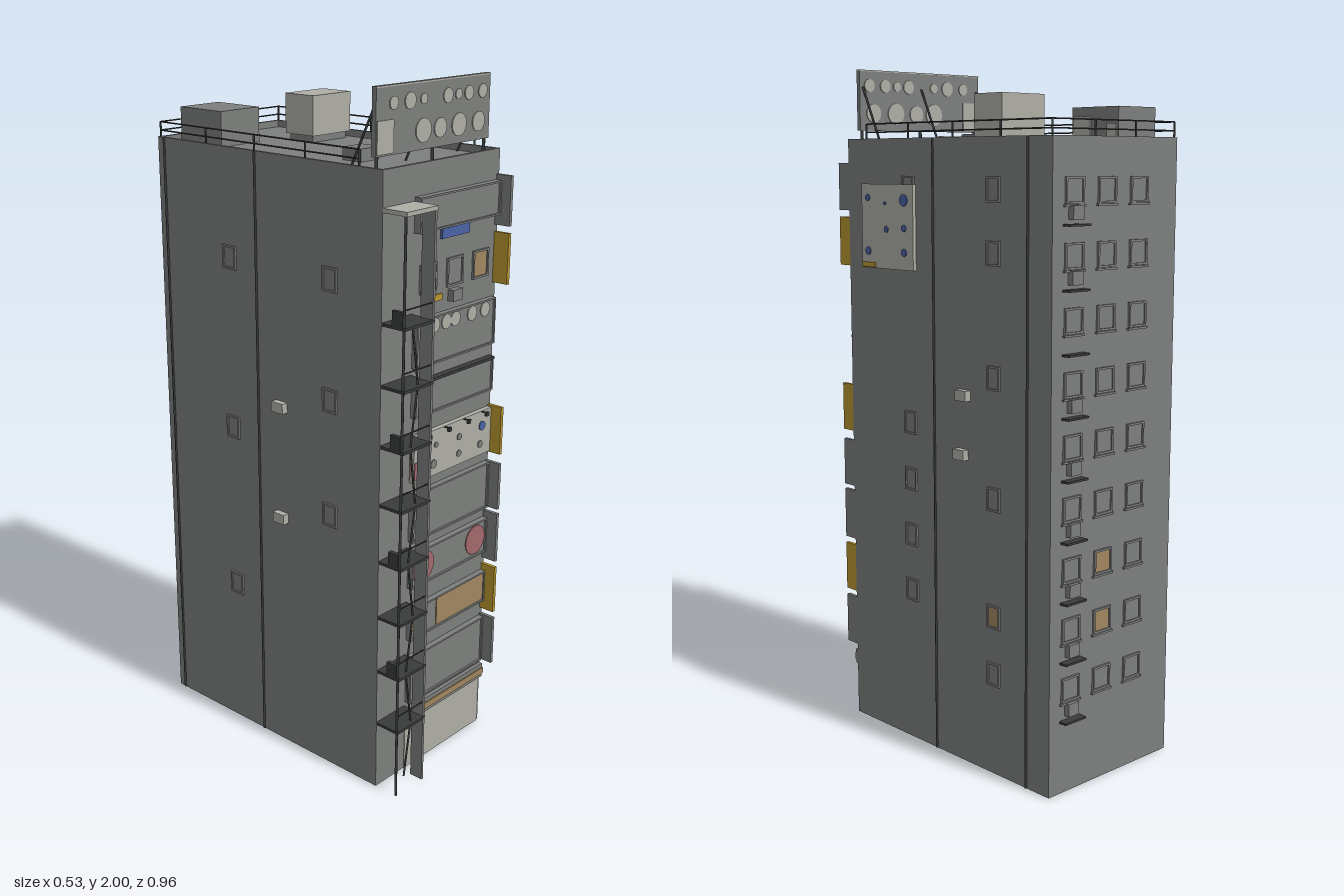
import * as THREE from 'three';

const mat = (name, color) => {
  const m = new THREE.MeshStandardMaterial({ color });
  m.name = name;
  return m;
};

export function createModel() {
  const root = new THREE.Group();
  root.name = 'cityBuilding';
  const grey = mat('concreteGrey', 0x7c7f7d), light = mat('paleGrey', 0xaeaea6), dark = mat('darkMetal', 0x3a3c3c);
  const yellow = mat('signYellow', 0xb8962e), orange = mat('warmOrange', 0xa0865f);
  const red = mat('signRed', 0xa1696b), blue = mat('signBlue', 0x4a62a5);

  const add = (name, geo, m, parent = root) => {
    const mesh = new THREE.Mesh(geo, m);
    mesh.name = name;
    parent.add(mesh);
    return mesh;
  };
  // Box given by its extents on each axis
  const box = (name, m, x0, x1, y0, y1, z0, z1, parent) => {
    const b = add(name, new THREE.BoxGeometry(x1 - x0, y1 - y0, z1 - z0), m, parent);
    b.position.set((x0 + x1) / 2, (y0 + y1) / 2, (z0 + z1) / 2);
    return b;
  };
  // Round bar between two points
  const bar = (name, m, a, b, r = 0.003, parent = root) => {
    const p = new THREE.Vector3(...a), q = new THREE.Vector3(...b);
    const c = add(name, new THREE.CylinderGeometry(r, r, p.distanceTo(q), 6), m, parent);
    c.position.copy(p).add(q).multiplyScalar(0.5);
    c.quaternion.setFromUnitVectors(new THREE.Vector3(0, 1, 0), q.sub(p).normalize());
    return c;
  };
  // Thin disc facing +z, optionally squashed
  const disc = (name, m, x, y, z, r, sy = 1, parent = root) => {
    const d = add(name, new THREE.CylinderGeometry(r, r, 0.004, 16), m, parent);
    d.rotation.x = Math.PI / 2;
    d.scale.z = sy;
    d.position.set(x, y, z);
    return d;
  };
  // Rectangular ring facing +z
  const frame = (name, m, w, h, t, d) => {
    const rect = (P, a, b) => new P().moveTo(-a, -b).lineTo(a, -b).lineTo(a, b).lineTo(-a, b).closePath();
    const s = rect(THREE.Shape, w / 2, h / 2);
    s.holes.push(rect(THREE.Path, w / 2 - t, h / 2 - t));
    const mesh = new THREE.Mesh(new THREE.ExtrudeGeometry(s, { depth: d, bevelEnabled: false }), m);
    mesh.name = name;
    return mesh;
  };
  const windowUnit = (x, y, z, turn, w, h, lit) => {
    const g = new THREE.Group();
    g.name = 'window';
    g.add(frame('windowFrame', grey, w, h, 0.006, 0.006));
    box('windowPane', lit ? orange : grey, -w / 2 + 0.006, w / 2 - 0.006, -h / 2 + 0.006, h / 2 - 0.006, -0.002, 0.002, g);
    g.position.set(x, y, z);
    g.rotation.y = turn;
    root.add(g);
  };
  const floorY = k => 0.3 + 0.17 * k;
  const X0 = -0.247, X1 = 0.245, Z0 = -0.455, Z1 = 0.4, T = 0.01, H = 1.8;

  // Hollow shell, open below
  box('leftWall', grey, X1 - T, X1, 0, H, Z0, Z1);
  box('rightWall', grey, X0, X0 + T, 0, H, Z0, Z1);
  box('backWall', grey, X0 + T, X1 - T, 0, H, Z0, Z0 + T);
  box('frontWall', grey, X0 + T, X1 - T, 0.16, H, Z1 - T, Z1);
  box('stairWall', grey, X0 + T, -0.12, 0, 0.16, Z1 - T, Z1);
  box('shutter', light, -0.12, X1 - T, 0, 0.16, Z1 - T, Z1 + 0.002);
  box('roof', grey, X0 + T, X1 - T, 1.765, 1.78, Z0 + T, Z1 - T);

  // Drain pipes
  for (const [x, z] of [[X1, 0.015], [X1, -0.365], [X0, -0.06], [X0, -0.43]])
    bar('drainPipe', dark, [x, 0, z], [x, H, z], 0.004);

  // Side windows, back windows with sills and cooling units
  for (const [k, z] of [[8, -0.235], [7, -0.235], [5, -0.235], [3, -0.235], [1, -0.235], [0, -0.235],
    [8, 0.12], [4, 0.12], [3, 0.12], [2, 0.12], [1, 0.12]])
    windowUnit(X1, floorY(k), z, Math.PI / 2, 0.052, 0.068, k === 1 && z < 0);
  for (const [k, z] of [[7, -0.165], [4, -0.165], [1, -0.165], [7, 0.22], [5, 0.22], [3, 0.22]])
    windowUnit(X0, floorY(k), z, -Math.PI / 2, 0.052, 0.068, false);
  for (let k = 0; k < 9; k++) {
    const y = floorY(k);
    [0.165, 0.04, -0.088].forEach((x, c) => {
      windowUnit(x, y, Z0, Math.PI, 0.07, 0.07, c === 1 && (k === 1 || k === 2));
      box('windowSill', grey, x - 0.04, x + 0.04, y - 0.042, y - 0.036, Z0 - 0.007, Z0);
    });
    box('backLedge', dark, 0.125, 0.205, y - 0.092, y - 0.086, Z0 - 0.025, Z0);
    if (k !== 6) box('coolingUnit', grey, 0.145, 0.185, y - 0.075, y - 0.038, Z0 - 0.018, Z0);
  }
  for (const [x, y, z] of [[X1, 1.09, -0.117], [X1, 0.92, -0.107], [X0 - 0.02, 1.09, 0.033], [X0 - 0.02, 0.75, 0.033]])
    box('wallUnit', light, x, x + 0.02, y - 0.015, y + 0.015, z - 0.022, z + 0.022);

  // Poster on the left wall
  box('sidePoster', light, X1, 0.256, 1.425, 1.67, 0.09, 0.325);
  box('posterCorner', yellow, 0.256, 0.259, 1.427, 1.442, 0.262, 0.323);
  for (const [z, y, r] of [[0.13, 1.625, 0.017], [0.13, 1.545, 0.01], [0.13, 1.475, 0.011], [0.21, 1.54, 0.009],
    [0.215, 1.615, 0.005], [0.295, 1.63, 0.01], [0.295, 1.475, 0.012]]) {
    const d = disc('posterSpot', blue, 0.257, y, z, r);
    d.rotation.set(0, 0, Math.PI / 2);
  }

  // Facade panels: y range, colour, depth
  for (const [y0, y1, m, d] of [[0.225, 0.375, grey, 0.012], [0.43, 0.53, grey, 0.012], [0.595, 0.705, grey, 0.012],
    [0.74, 0.885, grey, 0.012], [0.92, 1.055, light, 0.016], [1.11, 1.21, grey, 0.012],
    [1.25, 1.385, grey, 0.012], [1.62, 1.715, grey, 0.016]]) {
    box('facadePanel', m, -0.12, 0.23, y0, y1, Z1, Z1 + d);
    if (m === grey) {
      const f = frame('panelFrame', grey, 0.35, y1 - y0, 0.005, d + 0.006);
      f.position.set(0.055, (y0 + y1) / 2, Z1);
      root.add(f);
    }
  }
  box('shopLintel', grey, -0.12, 0.243, 0.16, 0.205, Z1, Z1 + 0.012);
  box('shopStripe', orange, -0.12, 0.243, 0.172, 0.192, Z1 + 0.012, Z1 + 0.016);
  box('facadeLedge', dark, -0.12, 0.23, 1.203, 1.211, Z1, Z1 + 0.021);
  const F = Z1 + 0.013;
  box('orangeBanner', orange, 0, 0.225, 0.437, 0.523, Z1, F + 0.002);
  disc('orangeSpot', orange, -0.09, 0.482, F, 0.026, 1.25);
  disc('redSpot', red, -0.067, 0.65, F, 0.049);
  disc('redSpot', red, 0.178, 0.65, F, 0.046);
  box('redSquare', red, -0.12, -0.07, 0.928, 0.98, Z1, Z1 + 0.019);
  for (const [x, y, r] of [[-0.09, 1.01, 0.012], [-0.035, 0.955, 0.013], [-0.025, 1.01, 0.008], [0.08, 0.955, 0.01],
    [0.08, 1.005, 0.01], [0.18, 0.955, 0.011]]) disc('signSpot', grey, x, y, Z1 + 0.017, r);
  disc('blueSpot', blue, 0.187, 1.01, Z1 + 0.017, 0.014);
  for (const x of [-0.08, -0.04, 0.01, 0.05, 0.125, 0.185]) disc('paleSpot', light, x, 1.358, F, 0.021);
  for (const x of [-0.06, 0.055, 0.17]) windowUnit(x, 1.49, Z1, 0, 0.07, 0.08, x > 0.1);
  box('yellowTag', yellow, -0.07, 0, 1.42, 1.438, Z1, Z1 + 0.005);
  box('frontUnit', grey, 0.03, 0.072, 1.41, 1.442, Z1, Z1 + 0.02);
  box('blueSign', blue, -0.01, 0.11, 1.588, 1.615, Z1, Z1 + 0.008);

  // Sign lamps
  for (const x of [-0.075, 0.012, 0.1, 0.186]) {
    bar('lampArm', dark, [x, 1.05, Z1], [x, 1.055, 0.433], 0.002);
    box('lampHead', dark, x - 0.006, x + 0.006, 1.044, 1.056, 0.43, 0.438);
  }
  // Blade signs on the front left edge
  for (const [y0, y1, m] of [[0.225, 0.38, grey], [0.4, 0.55, yellow], [0.57, 0.725, grey], [0.74, 0.885, grey],
    [0.915, 1.06, yellow], [1.425, 1.57, yellow], [1.59, 1.73, grey]])
    box('bladeSign', m, 0.233, 0.244, y0, y1, Z1, 0.45);

  // Outside stair tower
  bar('towerPost', dark, [-0.243, 0, 0.473], [-0.243, 1.7, 0.473], 0.004);
  box('towerFin', grey, -0.132, -0.124, 0, 1.7, 0.436, 0.478);
  box('towerRoof', light, -0.247, -0.122, 1.692, 1.704, Z1, 0.48);
  for (let k = 0; k < 8; k++) {
    const y = 0.21 + k * 0.17, s = k % 2 ? 1 : -1;
    box('towerLanding', dark, -0.247, -0.125, y - 0.004, y + 0.004, Z1, 0.48);
    bar('landingRail', dark, [-0.243, y + 0.05, 0.474], [-0.128, y + 0.05, 0.474], 0.002);
    if (k % 2) box('landingBox', dark, -0.247, -0.235, y, y + 0.045, 0.435, 0.47);
    bar('towerCable', dark, [-0.185 + s * 0.013, y - 0.17, 0.465], [-0.185 - s * 0.013, y, 0.465], 0.003);
  }

  // Rooftop boxes
  box('waterTank', light, 0.055, 0.215, 1.8, 1.915, -0.235, -0.125);
  box('tankBase', grey, 0.065, 0.205, 1.77, 1.8, -0.225, -0.135);
  box('roofHouse', grey, -0.175, -0.025, 1.77, 1.88, -0.435, -0.265);
  box('housePatch', light, -0.025, -0.021, 1.8, 1.855, -0.335, -0.27);
  box('housePatch', light, -0.025, -0.021, 1.8, 1.835, -0.43, -0.395);
  box('roofVent', grey, -0.105, -0.03, 1.77, 1.815, 0.135, 0.2);
  box('ventDuct', light, -0.03, 0.008, 1.795, 1.808, 0.19, 0.204);
  box('ventDuct', light, 0.02, 0.06, 1.795, 1.808, 0.19, 0.204);

  // Roof railing on three sides
  for (const y of [1.818, 1.842]) {
    for (const x of [-0.241, 0.241]) bar('roofRail', dark, [x, y, -0.449], [x, y, 0.315], 0.0022);
    bar('roofRail', dark, [-0.241, y, -0.449], [0.241, y, -0.449], 0.0022);
  }
  for (const x of [-0.241, 0.241])
    for (const z of [-0.449, -0.258, -0.066, 0.125, 0.315]) bar('railPost', dark, [x, 1.79, z], [x, 1.842, z]);
  for (const x of [-0.08, 0.08]) bar('railPost', dark, [x, 1.79, -0.449], [x, 1.842, -0.449]);

  // Billboard with pale spots on both faces and braces behind
  box('billboard', grey, -0.237, 0.235, 1.825, 2, 0.352, 0.366);
  box('billboardCap', light, -0.237, 0.235, 1.996, 2, 0.3515, 0.3665);
  for (const z of [0.351, 0.367]) {
    box('billboardPatch', light, -0.235, -0.17, 1.83, 1.915, z - 0.002, z + 0.002);
    for (const [x, y, r] of [[-0.17, 1.955, 0.017], [-0.105, 1.955, 0.022], [-0.05, 1.955, 0.014], [0.05, 1.955, 0.02],
      [0.095, 1.955, 0.014], [0.14, 1.955, 0.019], [0.2, 1.955, 0.019], [-0.05, 1.875, 0.032], [0.02, 1.875, 0.026],
      [0.1, 1.875, 0.031], [0.185, 1.875, 0.027]]) disc('billboardSpot', light, x, y, z, r);
  }
  for (const x of [-0.225, 0, 0.225]) {
    bar('billboardPost', dark, [x, 1.77, 0.358], [x, 1.84, 0.358], 0.005);
    bar('billboardBrace', dark, [x, 1.775, 0.265], [x, 1.95, 0.35], 0.0035);
  }
  return root;
}
